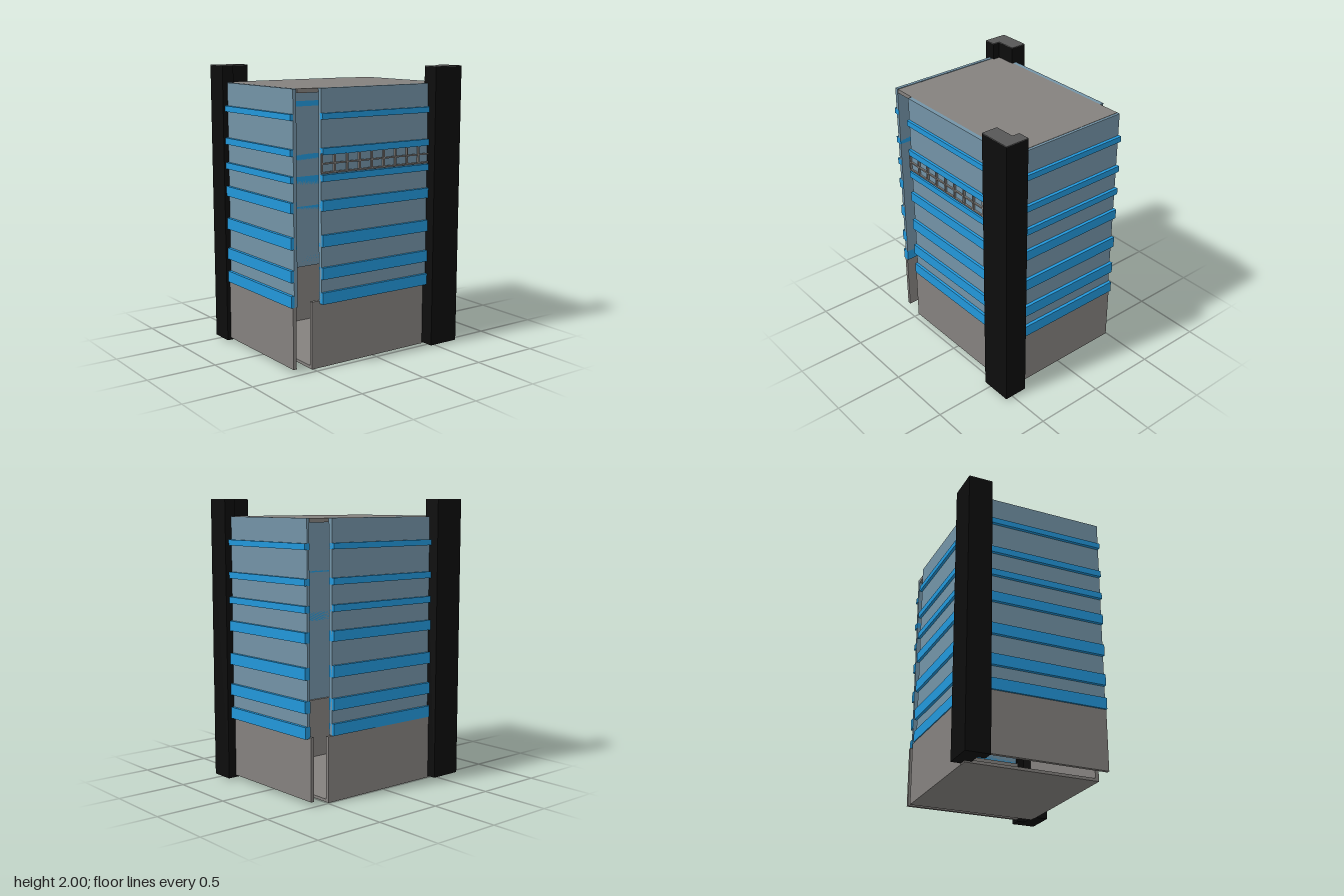
import * as THREE from 'three';

const paint = (name, color) => {
  const m = new THREE.MeshStandardMaterial({ color });
  m.name = name;
  return m;
};

export function createModel() {
  const concrete = paint('warm grey concrete', 0x84817e);
  const glass = paint('blue grey glass', 0x7393a6);
  const blue = paint('bright blue', 0x2297da);
  const black = paint('black', 0x0d0d0d);
  const capGrey = paint('dark grey', 0x575757);

  const model = new THREE.Group();
  model.name = 'towerBlock';

  // Box given by its extents along each axis
  const box = (parent, name, mat, [x0, x1], [y0, y1], [z0, z1]) => {
    const mesh = new THREE.Mesh(new THREE.BoxGeometry(x1 - x0, y1 - y0, z1 - z0), mat);
    mesh.position.set((x0 + x1) / 2, (y0 + y1) / 2, (z0 + z1) / 2);
    mesh.name = name;
    parent.add(mesh);
    return mesh;
  };

  // Roof and floor slabs
  box(model, 'roof', concrete, [-0.612, 0.61], [1.852, 1.88], [-0.45, 0.45]);
  box(model, 'floor', concrete, [-0.51, 0.49], [0, 0.02], [-0.49, 0.45]);

  // Four separate facades: glass sheet, projecting blue bands, solid base wall
  const bands = [
    [0.45, 0.53], [0.62, 0.70], [0.84, 0.92], [1.08, 1.15],
    [1.275, 1.32], [1.45, 1.495], [1.68, 1.72],
  ];
  const facades = [
    { name: 'front', glass: [[-0.45, 0.45], [0.45, 0.48]], band: [[-0.45, 0.45], [0.45, 0.5]],
      base: [[-0.51, 0.45], [0, 0.468], [0.43, 0.456]] },
    { name: 'back', glass: [[-0.45, 0.45], [-0.48, -0.45]], band: [[-0.45, 0.45], [-0.5, -0.45]],
      base: [[-0.45, 0.49], [0, 0.45], [-0.493, -0.468]] },
    { name: 'left', glass: [[0.613, 0.632], [-0.45, 0.39]], band: [[0.613, 0.655], [-0.455, 0.39]],
      base: [[0.597, 0.622], [0.025, 0.46], [-0.472, 0.39]] },
    { name: 'right', glass: [[-0.645, -0.62], [-0.41, 0.45]], band: [[-0.668, -0.62], [-0.41, 0.45]],
      base: [[-0.655, -0.63], [0.025, 0.45], [-0.41, 0.45]] },
  ];
  for (const f of facades) {
    const wall = new THREE.Group();
    wall.name = f.name + 'Facade';
    box(wall, f.name + 'Glass', glass, f.glass[0], [0.45, 1.88], f.glass[1]);
    for (const b of bands) box(wall, f.name + 'Band', blue, f.band[0], b, f.band[1]);
    box(wall, f.name + 'BaseWall', concrete, ...f.base);
    model.add(wall);
  }

  // Balcony railing across the front
  const railing = new THREE.Group();
  railing.name = 'frontRailing';
  for (const y of [1.333, 1.392, 1.455]) {
    box(railing, 'rail', concrete, [-0.455, 0.45], [y - 0.005, y + 0.005], [0.482, 0.494]);
  }
  for (let i = 0; i < 9; i++) {
    const x = -0.45 + i * 0.1015;
    box(railing, 'railPost', concrete, [x - 0.006, x + 0.006], [1.33, 1.46], [0.481, 0.495]);
  }
  model.add(railing);

  // L-shaped corner pillars on opposite corners
  const outline = new THREE.Shape([
    [0.45, 0.442], [0.597, 0.442], [0.597, 0.388], [0.683, 0.388], [0.683, 0.56], [0.45, 0.56],
  ].map(([x, z]) => new THREE.Vector2(x, -z)));
  const slab = (depth) =>
    new THREE.ExtrudeGeometry(outline, { depth, bevelEnabled: false }).rotateX(-Math.PI / 2);
  const shaftGeo = slab(1.985);
  const capGeo = slab(0.005);
  ['frontPillar', 'backPillar'].forEach((name, i) => {
    const pillar = new THREE.Group();
    pillar.name = name;
    const shaft = new THREE.Mesh(shaftGeo, black);
    shaft.name = 'pillarShaft';
    shaft.position.y = 0.01;
    const cap = new THREE.Mesh(capGeo, capGrey);
    cap.name = 'pillarCap';
    cap.position.y = 1.995;
    pillar.add(shaft, cap);
    pillar.rotation.y = i * Math.PI;
    model.add(pillar);
  });

  return model;
}
